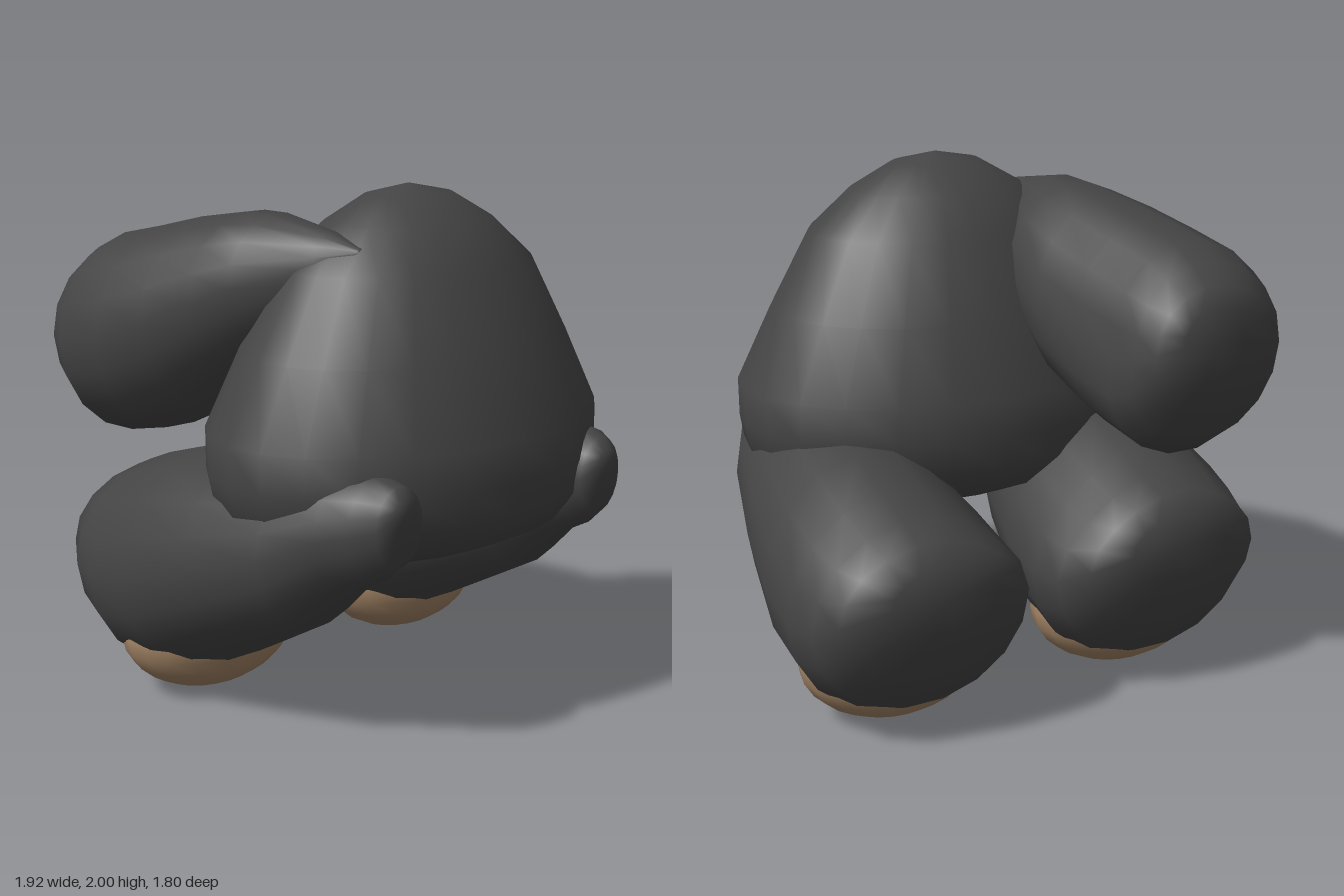
import * as THREE from 'three';

const SIDES = 18;

// Smooth limb from elliptical slices [z, xMin, xMax, yMin, yMax], front to back,
// with a soft fold running along the angle foldAngle.
function limbGeometry(slices, foldAngle, foldDepth) {
  const pos = [], index = [];
  slices.forEach(([z, x0, x1, y0, y1], i) => {
    const t = i / (slices.length - 1);
    const depth = foldDepth * Math.max(0, Math.sin(Math.PI * (t * 1.5 - 0.5)));
    for (let j = 0; j < SIDES; j++) {
      const a = (j / SIDES) * Math.PI * 2;
      const off = Math.abs(Math.atan2(Math.sin(a - foldAngle), Math.cos(a - foldAngle)));
      const r = 1 - depth * Math.max(0, 1 - off / 0.7);
      pos.push((x0 + x1) / 2 + r * Math.cos(a) * (x1 - x0) / 2,
        (y0 + y1) / 2 + r * Math.sin(a) * (y1 - y0) / 2, z);
    }
  });
  for (let i = 0; i < slices.length - 1; i++) {
    for (let j = 0; j < SIDES; j++) {
      const a = i * SIDES + j, b = i * SIDES + (j + 1) % SIDES;
      index.push(a, a + SIDES, b, b, a + SIDES, b + SIDES);
    }
  }
  // end caps
  [[0, 1], [slices.length - 1, -1]].forEach(([i, dir]) => {
    const [z, x0, x1, y0, y1] = slices[i];
    const c = pos.length / 3, base = i * SIDES;
    pos.push((x0 + x1) / 2, (y0 + y1) / 2, z + dir * 0.005);
    for (let j = 0; j < SIDES; j++) {
      const a = base + j, b = base + (j + 1) % SIDES;
      if (dir > 0) index.push(c, a, b); else index.push(c, b, a);
    }
  });
  const g = new THREE.BufferGeometry();
  g.setAttribute('position', new THREE.Float32BufferAttribute(pos, 3));
  g.setIndex(index);
  g.computeVertexNormals();
  return g;
}

export function createModel() {
  const group = new THREE.Group();
  const charcoal = new THREE.MeshStandardMaterial({ color: 0x444444 });
  charcoal.name = 'charcoal';
  const tan = new THREE.MeshStandardMaterial({ color: 0xa08264 });
  tan.name = 'tan';
  const add = (name, geometry, material) => {
    const mesh = new THREE.Mesh(geometry, material);
    mesh.name = name;
    group.add(mesh);
    return mesh;
  };

  // domed body, flattened front to back
  const profile = [[0, 0.65], [0.25, 0.655], [0.5, 0.69], [0.7, 0.76], [0.8, 0.87], [0.82, 1.0],
    [0.82, 1.15], [0.68, 1.43], [0.52, 1.72], [0.35, 1.87], [0.18, 1.965], [0, 2]];
  const body = add('body', new THREE.LatheGeometry(
    profile.map(([x, y]) => new THREE.Vector2(x, y)), 24), charcoal);
  body.scale.z = 0.72;
  body.position.z = 0.31;

  // pair of legs: slim at the front, thick at the back
  const leg = [
    [0.875, 0.45, 0.55, 0.93, 1.03], [0.84, 0.39, 0.6, 0.78, 1.07], [0.76, 0.36, 0.66, 0.71, 1.09],
    [0.65, 0.32, 0.72, 0.65, 1.09], [0.45, 0.25, 0.82, 0.46, 1.07], [0.1, 0.12, 0.91, 0.26, 1.04],
    [-0.2, 0.05, 0.96, 0.09, 1.01], [-0.42, 0.04, 0.96, 0.06, 0.94], [-0.57, 0.06, 0.93, 0.14, 0.88],
    [-0.68, 0.14, 0.87, 0.31, 0.83], [-0.745, 0.28, 0.7, 0.5, 0.76]];
  for (const s of [1, -1]) {
    const side = s > 0 ? 'left' : 'right';
    const slices = leg.map(([z, a, b, y0, y1]) =>
      [z, Math.min(s * a, s * b), Math.max(s * a, s * b), y0, y1]);
    add(side + 'Leg', limbGeometry(slices, s > 0 ? 2.3 : Math.PI - 2.3, 0.14), charcoal);

    // sole under the thick end
    const sole = add(side + 'Sole', new THREE.SphereGeometry(1, 20, 12), tan);
    sole.scale.set(0.37, 0.245, 0.27);
    sole.position.set(s * 0.5, 0.247, -0.3);
  }

  // single raised limb growing out of the upper back
  const raised = [
    [0.47, -0.38, -0.33, 1.77, 1.81], [0.35, -0.48, -0.29, 1.6, 1.86], [0.1, -0.66, -0.2, 1.4, 1.905],
    [-0.06, -0.73, -0.12, 1.27, 1.9], [-0.25, -0.81, -0.11, 1.12, 1.87], [-0.45, -0.88, -0.14, 1.02, 1.82],
    [-0.66, -0.91, -0.17, 0.975, 1.775], [-0.76, -0.88, -0.2, 1.05, 1.72], [-0.85, -0.78, -0.26, 1.2, 1.66],
    [-0.895, -0.62, -0.36, 1.33, 1.59]];
  add('raisedLimb', limbGeometry(raised, 0.2, 0.16), charcoal);

  return group;
}
